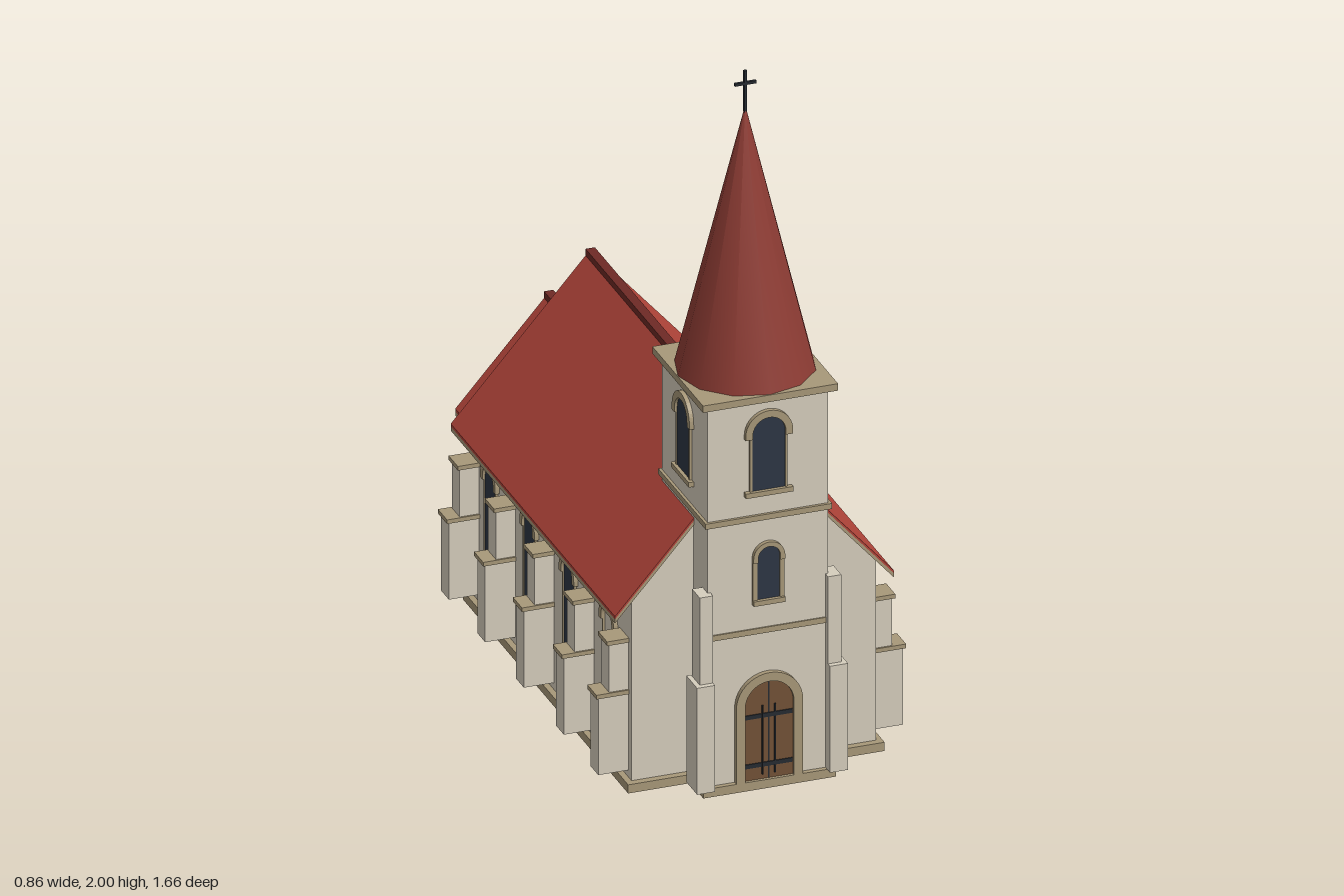
import * as THREE from 'three';

const mat = (name, color) => {
  const m = new THREE.MeshStandardMaterial({ color });
  m.name = name;
  return m;
};

export function createModel() {
  const wall = mat('plaster', 0xd6cebd), trim = mat('sandstone', 0xa89879);
  const red = mat('roofTile', 0xb2443a), spireRed = mat('spireTile', 0x8e3c34);
  const ridgeRed = mat('ridgeTile', 0x6e2a25), glass = mat('glass', 0x2d3644);
  const wood = mat('doorWood', 0x735237), iron = mat('iron', 0x262b31);
  const church = new THREE.Group();
  church.name = 'church';

  const add = (parent, name, geo, m) => {
    const mesh = new THREE.Mesh(geo, m);
    mesh.name = name;
    parent.add(mesh);
    return mesh;
  };
  // Box given by its limits on each axis
  const box = (parent, name, m, x0, x1, y0, y1, z0, z1) => {
    const mesh = add(parent, name, new THREE.BoxGeometry(Math.abs(x1 - x0), y1 - y0, z1 - z0), m);
    mesh.position.set((x0 + x1) / 2, (y0 + y1) / 2, (z0 + z1) / 2);
    return mesh;
  };
  const extrude = (shape, depth) =>
    new THREE.ExtrudeGeometry(shape, { depth, bevelEnabled: false, curveSegments: 10 });

  // Round-headed outline: half width r, from y0 up to the springing line, then a half circle
  const arch = (r, y0, spring, Type = THREE.Shape) => {
    const s = new Type();
    s.moveTo(-r, y0);
    s.lineTo(r, y0);
    s.lineTo(r, spring);
    s.absarc(0, spring, r, 0, Math.PI, false);
    s.lineTo(-r, y0);
    return s;
  };
  // Open band running round an arch, with legs down to y0
  const band = (r, w, y0, spring) => {
    const s = new THREE.Shape();
    s.moveTo(r, y0);
    s.lineTo(r + w, y0);
    s.lineTo(r + w, spring);
    s.absarc(0, spring, r + w, 0, Math.PI, false);
    s.lineTo(-r - w, y0);
    s.lineTo(-r, y0);
    s.lineTo(-r, spring);
    s.absarc(0, spring, r, Math.PI, 0, true);
    s.lineTo(r, y0);
    return s;
  };

  // Window on a wall: pane, thin jambs, hood mould and sill
  const addWindow = (name, x, z, turn, r, y0, top, hood, glazed = true, jamb = 0.006) => {
    const g = new THREE.Group();
    g.name = name;
    const spring = top - r;
    if (glazed) add(g, 'pane', extrude(arch(r, y0, spring), 0.004), glass);
    add(g, 'jambs', extrude(band(r, jamb, y0, spring), 0.007), trim);
    add(g, 'hood', extrude(band(r, hood, spring - 0.012, spring), 0.012), trim);
    box(g, 'sill', trim, -r - hood, r + hood, y0 - 0.014, y0, 0, 0.014);
    g.position.set(x, 0, z);
    g.rotation.y = turn;
    church.add(g);
  };

  // Gabled block: walls, two roof slopes on a stone soffit, ridge tiles
  const addGabled = (name, half, y0, z0, z1, roofHalf, eave, ridge, rz0, rz1) => {
    const slope = (ridge - eave) / roofHalf, under = ridge - 0.018;
    const body = new THREE.Shape([
      new THREE.Vector2(-half, y0), new THREE.Vector2(half, y0),
      new THREE.Vector2(half, under - half * slope), new THREE.Vector2(0, under),
      new THREE.Vector2(-half, under - half * slope),
    ]);
    add(church, name + 'Walls', extrude(body, z1 - z0), wall).position.z = z0;
    const layer = (part, m, drop, t) => {
      const s = new THREE.Shape([
        new THREE.Vector2(-roofHalf, eave - drop), new THREE.Vector2(-roofHalf, eave - drop - t),
        new THREE.Vector2(0, ridge - drop - t), new THREE.Vector2(roofHalf, eave - drop - t),
        new THREE.Vector2(roofHalf, eave - drop), new THREE.Vector2(0, ridge - drop),
      ]);
      add(church, name + part, extrude(s, rz1 - rz0), m).position.z = rz0;
    };
    layer('Roof', red, 0, 0.008);
    layer('Soffit', trim, 0.008, 0.012);
    box(church, name + 'Ridge', ridgeRed, -0.013, 0.013, ridge - 0.014, ridge + 0.005, rz0, rz1);
  };

  addGabled('nave', 0.34, 0.02, -0.5, 0.69, 0.388, 0.512, 0.95, -0.521, 0.695);
  addGabled('chancel', 0.215, 0.022, -0.806, -0.49, 0.26, 0.392, 0.685, -0.828, -0.49);

  // Plinths
  box(church, 'navePlinth', trim, -0.357, 0.357, 0, 0.025, -0.512, 0.71);
  box(church, 'towerPlinth', trim, -0.185, 0.185, 0.001, 0.026, 0.445, 0.809);

  // Tower with string courses and cornice
  const tz = 0.627, th = 0.168;
  box(church, 'tower', wall, -th, th, 0.02, 1.13, tz - th, tz + th);
  [[0.455, 0.004, 0.016], [0.785, 0.008, 0.016], [1.134, 0.02, 0.02]].forEach(([y, out, t], i) =>
    box(church, i < 2 ? 'stringCourse' : 'cornice', trim, -th - out, th + out, y - t / 2, y + t / 2,
      tz - th - out, tz + th + out));

  // Spire and cross
  const spire = add(church, 'spire', new THREE.ConeGeometry(0.187, 0.755, 12), spireRed);
  spire.position.set(0, 1.522, tz);
  box(church, 'crossPost', iron, -0.004, 0.004, 1.88, 2, tz - 0.004, tz + 0.004);
  box(church, 'crossBar', iron, -0.03, 0.03, 1.959, 1.967, tz - 0.004, tz + 0.004);

  // Tower windows
  for (let i = 0; i < 4; i++) {
    const a = i * Math.PI / 2;
    addWindow('belfryWindow', Math.sin(a) * th, tz + Math.cos(a) * th, a, 0.046, 0.864, 1.075, 0.02);
  }
  addWindow('towerWindow', 0, tz + th, 0, 0.031, 0.547, 0.7, 0.013, true, 0.013);

  // Doorway with iron straps and pulls
  const door = new THREE.Group();
  door.name = 'doorway';
  door.position.z = tz + th;
  church.add(door);
  add(door, 'doorLeaves', extrude(arch(0.068, 0.026, 0.242), 0.005), wood);
  add(door, 'doorSurround', extrude(band(0.068, 0.025, 0.026, 0.242), 0.014), trim);
  [0.068, 0.21].forEach((y) => box(door, 'strap', iron, -0.066, 0.066, y - 0.006, y + 0.006, 0, 0.008));
  box(door, 'doorGap', iron, -0.002, 0.002, 0.026, 0.305, 0, 0.006);

  for (const s of [-1, 1]) {
    box(door, 'pull', iron, s * 0.015, s * 0.019, 0.04, 0.24, 0, 0.009);

    // Tower corner buttresses
    box(church, 'towerButtressLower', wall, s * 0.16, s * 0.21, 0.026, 0.335, 0.75, 0.83);
    box(church, 'towerButtressUpper', wall, s * 0.16, s * 0.197, 0.335, 0.588, 0.757, 0.815);

    // Stepped nave buttresses
    for (const z of [0.638, 0.383, 0.087, -0.2, -0.468]) {
      box(church, 'buttressLower', wall, s * 0.33, s * 0.424, 0.045, 0.268, z - 0.029, z + 0.029);
      box(church, 'buttressLowerCap', trim, s * 0.33, s * 0.431, 0.268, 0.28, z - 0.034, z + 0.034);
      box(church, 'buttressUpper', wall, s * 0.33, s * 0.394, 0.28, 0.418, z - 0.029, z + 0.029);
      box(church, 'buttressUpperCap', trim, s * 0.33, s * 0.401, 0.418, 0.43, z - 0.034, z + 0.034);
    }

    // Nave side windows; the front bay is a blind arch
    [0.533, 0.238, -0.053, -0.344].forEach((z, i) =>
      addWindow(i ? 'naveWindow' : 'blindArch', s * 0.34, z, s * Math.PI / 2, 0.039, 0.188, 0.458, 0.017, i > 0));

    // Chancel side windows, blind on the right
    addWindow('chancelWindow', s * 0.215, -0.668, s * Math.PI / 2, 0.03, 0.198, 0.37, 0.014, s < 0);
  }
  addWindow('chancelEndWindow', 0, -0.806, Math.PI, 0.036, 0.188, 0.43, 0.015);

  return church;
}
